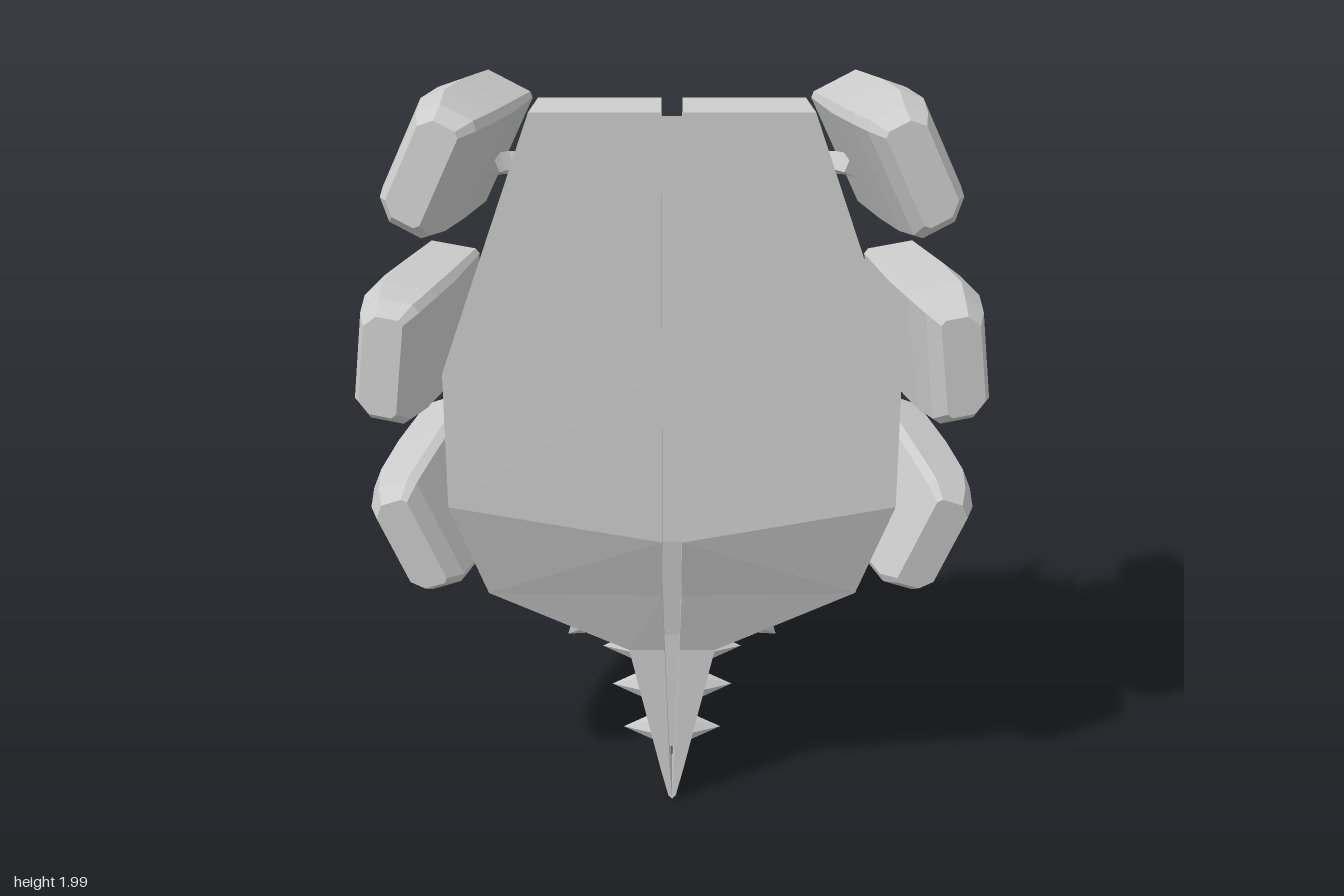
import * as THREE from 'three';

const flat = new THREE.MeshStandardMaterial({ color: 0xcccccc, flatShading: true });
const smooth = new THREE.MeshStandardMaterial({ color: 0xcccccc });
const V = (x, y, z) => new THREE.Vector3(x, y, z);

// Joins equal-length closed rings; both ends are closed by a fan to a centre point.
function loft(rings, startCentre, endCentre) {
  const n = rings[0].length, idx = [];
  const points = [...rings.flat(), startCentre, endCentre];
  const s = points.length - 2, e = s + 1, last = (rings.length - 1) * n;
  for (let i = 0; i < n; i++) {
    const j = (i + 1) % n;
    for (let r = 0; r < last; r += n) {
      idx.push(r + i, r + n + i, r + n + j, r + i, r + n + j, r + j);
    }
    idx.push(s, i, j, e, last + j, last + i);
  }
  const g = new THREE.BufferGeometry();
  g.setAttribute('position', new THREE.Float32BufferAttribute(points.flat(), 3));
  g.setIndex(idx);
  g.computeVertexNormals();
  return g;
}

// Rectangle at depth z, counter-clockwise seen from +z; outer (+x) corners chamfered by c, inner ones less.
function chamferRing(w, h, c, z, shift = 0) {
  const a = w / 2, b = h / 2, d = c * 0.4;
  return [[a, -b + c], [a, b - c], [a - c, b], [-a + d, b], [-a, b - d], [-a, -b + d], [-a + d, -b], [a - c, -b]]
    .map(([x, y]) => [x + shift, y, z]);
}

// Adds a part on the left and its mirror image on the right.
function addPair(parent, name, geo, mat = flat) {
  const other = geo.clone().scale(-1, 1, 1);
  other.setIndex(Array.from(geo.index.array).reverse());
  [['left', geo], ['right', other]].forEach(([side, g]) => {
    const m = new THREE.Mesh(g, mat);
    m.name = side + name;
    parent.add(m);
  });
}

function spike(base, tip, radius) {
  const dir = tip.clone().sub(base), len = dir.length() + 0.03;
  dir.normalize();
  const g = new THREE.ConeGeometry(radius, len, 6);
  g.translate(0, len / 2 - 0.03, 0);
  g.applyQuaternion(new THREE.Quaternion().setFromUnitVectors(V(0, 1, 0), dir));
  return g.translate(base.x, base.y, base.z);
}

// Bulging pod with a blunt front and a shallow recess at the back
function podGeometry() {
  return loft([
    chamferRing(0.1, 0.26, 0.03, 0.268, 0.005),
    chamferRing(0.15, 0.32, 0.045, 0.22, 0.005),
    chamferRing(0.185, 0.335, 0.045, 0.12, 0.012),
    chamferRing(0.195, 0.335, 0.045, -0.04, 0.012),
    chamferRing(0.165, 0.33, 0.03, -0.26),
    chamferRing(0.135, 0.3, 0.025, -0.26),
    chamferRing(0.13, 0.295, 0.025, -0.235),
  ], [0, 0, 0.268], [0, 0, -0.235]);
}

export function createModel() {
  const model = new THREE.Group();
  model.name = 'spikedShell';

  // Body halves: rings run inner front, outer front, then round the back to the groove
  const rings = [
    [[0.025, 1.985, 0.36], [0.335, 1.985, 0.36], [0.32, 1.985, 0.22], [0.25, 1.84, 0], [0.19, 1.765, -0.11], [0.1, 1.71, -0.19], [0.025, 1.7, -0.205]],
    [[0.025, 1.33, 0.36], [0.565, 1.33, 0.36], [0.5, 1.33, 0.2], [0.42, 1.33, 0.03], [0.25, 1.33, -0.14], [0.1, 1.33, -0.195], [0.025, 1.33, -0.205]],
    [[0.025, 0.87, 0.365], [0.565, 0.97, 0.365], [0.5, 0.95, 0.2], [0.42, 0.95, 0.03], [0.25, 0.95, -0.13], [0.1, 0.95, -0.185], [0.025, 0.95, -0.2]],
    [[0.025, 0.68, 0.295], [0.48, 0.68, 0.28], [0.42, 0.68, 0.2], [0.33, 0.68, 0.06], [0.2, 0.68, -0.06], [0.09, 0.68, -0.11], [0.025, 0.68, -0.12]],
    [[0.02, 0.48, 0.23], [0.115, 0.48, 0.23], [0.115, 0.48, 0.17], [0.11, 0.48, 0.08], [0.095, 0.49, 0], [0.06, 0.5, -0.06], [0.02, 0.5, -0.07]],
    [[0.006, 0.1, 0.22], [0.032, 0.1, 0.22], [0.035, 0.1, 0.18], [0.035, 0.1, 0.1], [0.032, 0.11, 0.04], [0.02, 0.12, 0], [0.006, 0.12, -0.015]],
    [[0, 0, 0.22], [0.01, 0.01, 0.22], [0.012, 0.015, 0.18], [0.012, 0.03, 0.11], [0.012, 0.035, 0.09], [0.008, 0.04, 0.08], [0, 0.04, 0.08]],
  ];
  addPair(model, 'BodyHalf', loft(rings, [0.025, 1.985, 0.22], [0, 0.02, 0.15]));

  // Core plate sunk in the groove between the halves
  const profile = [[-0.22, 1.94], [0.12, 1.71], [0.12, 0.85], [0.04, 0.6], [-0.04, 0.14], [-0.17, 0.14], [-0.18, 0.5], [-0.22, 0.8]];
  const coreGeo = new THREE.ExtrudeGeometry(
    new THREE.Shape(profile.map(([a, y]) => new THREE.Vector2(a, y))), { depth: 0.052, bevelEnabled: false });
  coreGeo.rotateY(Math.PI / 2).translate(-0.026, 0, 0);
  const core = new THREE.Mesh(coreGeo, flat);
  core.name = 'corePlate';
  model.add(core);

  // Side pods, rolled round the body and splayed outward at the front, with curved arms
  const pods = new THREE.Group();
  pods.name = 'pods';
  model.add(pods);
  [['Upper', 0.545, 1.807, 0.073, 0.44, 0.28], ['Middle', 0.663, 1.33, 0.071, 0.12, 0.37], ['Lower', 0.622, 0.855, 0.045, -0.4, 0.34]]
    .forEach(([name, x, y, z, roll, rootX]) => {
      const g = podGeometry().rotateY(0.2).rotateZ(roll).translate(x, y, z);
      addPair(pods, name + 'Pod', g);
      const endY = y - 0.06 * Math.sign(roll);
      const path = new THREE.QuadraticBezierCurve3(
        V(rootX, y - 0.1 * Math.sign(roll), 0), V((rootX + x) / 2 - 0.03, endY, -0.15), V(x - 0.08, endY, -0.02));
      addPair(pods, name + 'Arm', new THREE.TubeGeometry(path, 8, 0.034, 4));
    });

  // Spikes: [base, tip, radius]
  const spikes = new THREE.Group();
  spikes.name = 'spikes';
  model.add(spikes);
  const large = [
    [V(0.14, 1.55, -0.17), V(0.265, 1.635, -0.325), 0.08],
    [V(0.15, 1.27, -0.17), V(0.265, 1.28, -0.335), 0.08],
    [V(0.15, 0.98, -0.16), V(0.27, 0.94, -0.36), 0.08],
    [V(0.13, 0.69, -0.09), V(0.215, 0.64, -0.235), 0.075],
  ];
  const small = [
    [V(0.24, 1.68, -0.04), V(0.3, 1.71, -0.17), 0.07],
    [V(0.32, 1.45, -0.05), V(0.39, 1.46, -0.17), 0.07],
    [V(0.35, 1.1, -0.03), V(0.43, 1.09, -0.14), 0.07],
    [V(0.31, 0.79, 0), V(0.38, 0.76, -0.12), 0.07],
    [V(0.2, 0.57, 0.17), V(0.285, 0.46, 0.105), 0.08],
  ];
  const tail = [
    [V(0.09, 0.42, 0.1), V(0.19, 0.42, 0.1), 0.058],
    [V(0.065, 0.305, 0.11), V(0.165, 0.305, 0.11), 0.058],
    [V(0.04, 0.17, 0.115), V(0.135, 0.17, 0.115), 0.055],
  ];
  Object.entries({ BackSpike: large, SideSpike: small, TailSpike: tail }).forEach(([name, list]) =>
    list.forEach((s, i) => addPair(spikes, name + (i + 1), spike(...s))));

  // Oval studs with a raised ring on the sloping top
  const slope = (g) => g.applyQuaternion(
    new THREE.Quaternion().setFromUnitVectors(V(0, 0, 1), V(0, 0.83, -0.557).normalize())).translate(0.13, 1.858, 0.03);
  addPair(model, 'Stud', slope(new THREE.SphereGeometry(1, 20, 12).scale(0.033, 0.073, 0.03)), smooth);
  addPair(model, 'StudRing', slope(new THREE.TorusGeometry(1, 0.14, 8, 24).scale(0.036, 0.08, 0.07)), smooth);

  return model;
}
